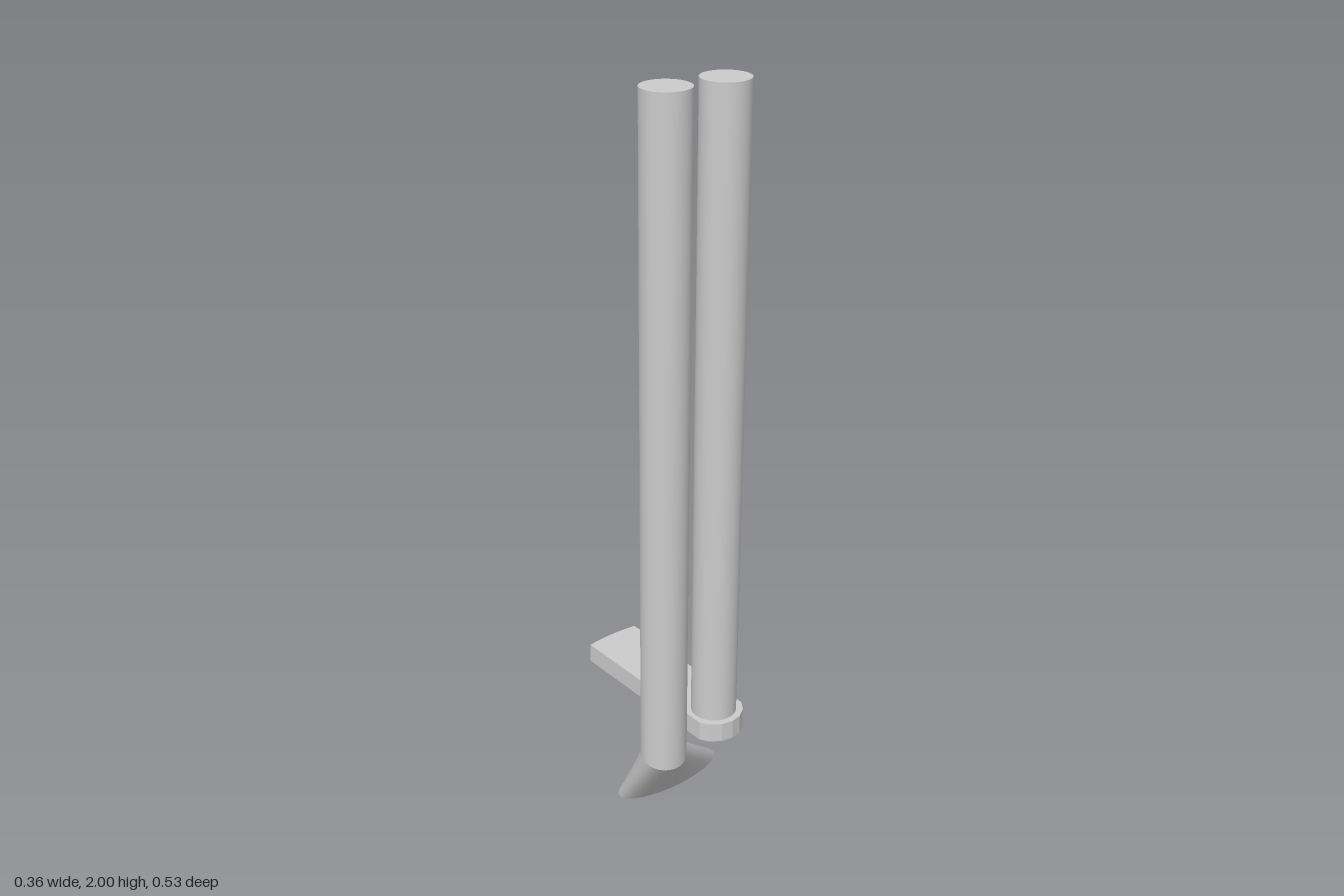
import * as THREE from 'three';

const material = new THREE.MeshStandardMaterial({ color: 0xcccccc, side: THREE.DoubleSide });

function addPart(group, geometry, name) {
  const mesh = new THREE.Mesh(geometry, material);
  mesh.name = name;
  group.add(mesh);
  return mesh;
}

// Skin between two rings of points, closed around, lower ring first
function loft(lower, upper) {
  const n = lower.length;
  const positions = [...lower, ...upper].flatMap((p) => p.toArray());
  const index = [];
  for (let i = 0; i < n; i++) {
    const j = (i + 1) % n;
    index.push(i, n + i, j, j, n + i, n + j);
  }
  const geometry = new THREE.BufferGeometry();
  geometry.setAttribute('position', new THREE.Float32BufferAttribute(positions, 3));
  geometry.setIndex(index);
  geometry.computeVertexNormals();
  return geometry;
}

// Flat lid over a ring, wound to face up or down
function lid(ring, up) {
  const index = [];
  for (let i = 1; i < ring.length - 1; i++) index.push(0, up ? i + 1 : i, up ? i : i + 1);
  const geometry = new THREE.BufferGeometry().setFromPoints(ring);
  geometry.setIndex(index);
  geometry.computeVertexNormals();
  return geometry;
}

function ellipse(cx, cz, rx, rz, height, sides = 32) {
  return Array.from({ length: sides }, (_, i) => {
    const a = (i / sides) * Math.PI * 2;
    const x = rx * Math.cos(a), z = rz * Math.sin(a);
    return new THREE.Vector3(cx + x, height(x, z), cz + z);
  });
}

export function createModel() {
  const model = new THREE.Group();
  const pipeZ = 0.188, radius = 0.061;

  // Long pipe with a mitred elbow, flaring into a wide flat foot
  const long = new THREE.Group();
  long.name = 'longPipe';
  const top = ellipse(-0.12, pipeZ, radius, radius, () => 2);
  const elbow = ellipse(-0.12, pipeZ, radius, radius, (x, z) => 0.22 + 0.06 * x - 0.17 * z);
  const foot = ellipse(0.012, 0.04, 0.167, 0.06, () => 0);
  addPart(long, loft(elbow, top), 'longShaft');
  addPart(long, loft(foot, elbow), 'flaredFoot');
  addPart(long, lid(top, true), 'longShaftTop');
  addPart(long, lid(foot, false), 'footSole');
  model.add(long);

  // Short pipe standing on the bar
  const shaft = addPart(model, new THREE.CylinderGeometry(radius, radius, 1.705, 32), 'shortShaft');
  shaft.position.set(0.052, 0.29 + 1.705 / 2, pipeZ);

  // Flat bar: faceted round front end, slightly bowed back end
  const outline = new THREE.Shape();
  outline.moveTo(-0.08, 0.262);
  for (let i = 1; i < 8; i++) {
    const a = Math.PI + (i / 8) * Math.PI;
    outline.lineTo(0.08 * Math.cos(a), -pipeZ + 0.079 * Math.sin(a));
  }
  outline.lineTo(0.08, 0.262);
  outline.quadraticCurveTo(0, 0.274, -0.08, 0.262);
  const bar = addPart(model, new THREE.ExtrudeGeometry(outline, { depth: 0.055, bevelEnabled: false, curveSegments: 6 }), 'flatBar');
  bar.rotation.x = -Math.PI / 2;
  bar.position.set(0.052, 0.236, 0);

  return model;
}
